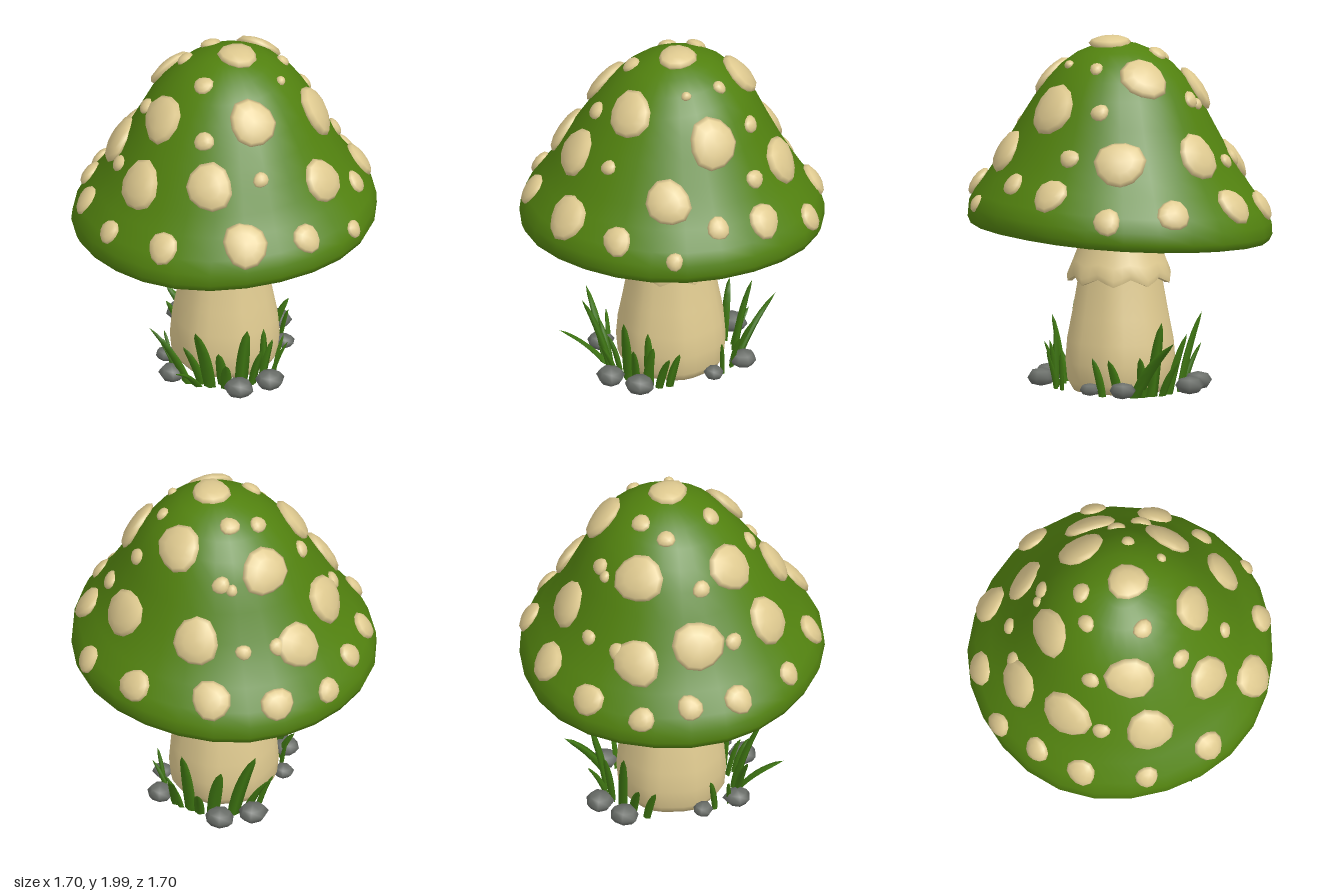
import * as THREE from 'three';
import { mergeVertices, toCreasedNormals } from 'three/addons/utils/BufferGeometryUtils.js';

const material = (name, color, extra = {}) => {
  const m = new THREE.MeshStandardMaterial({ color, ...extra });
  m.name = name;
  return m;
};

// Outer cap profile from rim to crown: [radius, height]
const CAP = [[0.85, 0.935], [0.845, 1.0], [0.81, 1.075], [0.73, 1.18], [0.665, 1.28], [0.605, 1.385], [0.53, 1.52],
  [0.46, 1.65], [0.39, 1.748], [0.31, 1.835], [0.22, 1.9], [0.11, 1.945], [0, 1.955]];

// The cap leans: low on the right and back at the rim, low in front near the crown
const lean = (v) => {
  const high = THREE.MathUtils.smoothstep(v.y, 1.4, 1.72);
  v.y += 0.055 * v.x + (0.035 - 0.1 * high) * v.z;
  v.x += 0.02 * (v.y - 0.95);
  return v;
};

function capPoint(x, z) {
  const r = Math.min(Math.hypot(x, z), 0.847);
  const i = CAP.findIndex((p) => p[0] <= r);
  const [r0, y0] = CAP[i - 1], [r1, y1] = CAP[i];
  return lean(new THREE.Vector3(x, THREE.MathUtils.lerp(y0, y1, (r - r0) / (r1 - r0)), z));
}

// Moves every vertex by a rule
function deform(geo, rule) {
  const pos = geo.attributes.position, v = new THREE.Vector3();
  for (let i = 0; i < pos.count; i++) {
    rule(v.fromBufferAttribute(pos, i), i);
    pos.setXYZ(i, v.x, v.y, v.z);
  }
  geo.deleteAttribute('uv');
  geo.deleteAttribute('normal');
  const merged = mergeVertices(geo, 1e-4);
  merged.computeVertexNormals();
  return merged;
}

const lathe = (points, segments) =>
  new THREE.LatheGeometry(points.map(([r, y]) => new THREE.Vector2(r, y)), segments);

// Domed spot lying on the cap, with a slightly uneven outline
function spotGeometry(x, z, radius, seed) {
  const e = 0.04, r = Math.hypot(x, z);
  const out = new THREE.Vector3(x / r, 0, z / r);
  const reach = Math.min(e, 0.845 - r);
  const inner = capPoint(x - out.x * e, z - out.z * e);
  const outer = capPoint(x + out.x * reach, z + out.z * reach);
  const around = new THREE.Vector3(-out.z, 0, out.x);
  const slope = outer.sub(inner).normalize();
  const normal = new THREE.Vector3().crossVectors(around, slope).normalize();
  if (normal.y < 0) normal.negate();
  const turn = new THREE.Quaternion().setFromUnitVectors(new THREE.Vector3(0, 1, 0), normal);
  const centre = capPoint(x, z);
  const height = 0.018 + radius * 0.23;
  return deform(new THREE.SphereGeometry(1, 11, 6), (v) => {
    const a = Math.atan2(v.z, v.x);
    const k = radius * (1.12 + 0.06 * Math.sin(2 * a + seed * 1.7) + 0.05 * Math.sin(3 * a + seed));
    v.set(v.x * k, v.y * height, v.z * k).applyQuaternion(turn).add(centre);
  });
}

// Thick curved blade with a diamond section, running from its root to its tip
function bladeGeometry([bx, bz, tx, ty, tz, width]) {
  const root = new THREE.Vector3(bx, 0, bz), tip = new THREE.Vector3(tx, ty, tz);
  const bend = new THREE.Vector3(bx + (tx - bx) * 0.35, ty * 0.6, bz + (tz - bz) * 0.35);
  const curve = new THREE.QuadraticBezierCurve3(root, bend, tip);
  const out = new THREE.Vector3(bx, 0, bz).normalize();
  const side = new THREE.Vector3(out.z, 0, -out.x);
  const pos = [], index = [], n = 7;
  for (let i = 0; i <= n; i++) {
    const t = i / n, c = curve.getPoint(t);
    const w = width * (0.75 + 1.3 * t) * Math.sqrt(1 - t) * (1 - 0.4 * t);
    for (const [s, o] of [[1, 0], [0, 0.55], [-1, 0], [0, -0.55]]) {
      const p = c.clone().addScaledVector(side, s * w).addScaledVector(out, o * w);
      pos.push(p.x, p.y, p.z);
    }
    for (let k = 0; k < 4 && i < n; k++) {
      const a = i * 4 + k, b = i * 4 + (k + 1) % 4;
      index.push(a, a + 4, b, b, a + 4, b + 4);
    }
  }
  const geo = new THREE.BufferGeometry();
  geo.setAttribute('position', new THREE.Float32BufferAttribute(pos, 3));
  geo.setIndex(index);
  geo.computeVertexNormals();
  return geo;
}

export function createModel() {
  const model = new THREE.Group();
  model.name = 'mushroom';
  const green = material('cap green', 0x52820f);
  const cream = material('cream', 0xdfca90);
  const gillCream = material('cream gills', 0xdfca90, { flatShading: true });
  const grassGreen = material('grass green', 0x3f7712);
  const stone = material('stone grey', 0x6a6e69);

  const add = (name, geo, mat, parent = model) => {
    const mesh = new THREE.Mesh(geo, mat);
    mesh.name = name;
    parent.add(mesh);
    return mesh;
  };
  const group = (name) => {
    const g = new THREE.Group();
    g.name = name;
    model.add(g);
    return g;
  };

  // Cap with a rolled lip and gentle dents
  const cap = deform(lathe([[0.765, 0.925], [0.80, 0.888], [0.832, 0.895], ...CAP], 26), (v) => {
    const k = 1 + 0.008 * Math.sin(5 * Math.atan2(v.z, v.x) + v.y * 6);
    v.x *= k;
    v.z *= k;
    lean(v);
  });
  add('cap', cap, green);

  // Pleated gills under the cap, swirling slightly toward the stem
  const gillProfile = [[0.17, 1.07], [0.32, 1.045], [0.48, 1.015], [0.64, 0.975], [0.775, 0.92]];
  const rows = gillProfile.length, up = new THREE.Vector3(0, 1, 0);
  const gills = deform(lathe(gillProfile, 88), (v, i) => {
    const row = i % rows, fold = Math.floor(i / rows) % 2;
    if (fold) v.y += [0.008, 0.014, 0.02, 0.022, 0.004][row];
    v.applyAxisAngle(up, [0.16, 0.05, 0, 0.03, 0.09][row]);
    lean(v);
  });
  add('gills', gills, gillCream);

  // Stem with shallow ribs and a softly rounded foot
  const stem = deform(lathe([[0, 0], [0.265, 0], [0.295, 0.05], [0.305, 0.16], [0.295, 0.28], [0.268, 0.42],
    [0.24, 0.58], [0.222, 0.7], [0.2, 0.86], [0.198, 0.95], [0.21, 1.03], [0.235, 1.1]], 28), (v) => {
    const k = 1 + 0.02 * Math.sin(7 * Math.atan2(v.z, v.x));
    v.x *= k;
    v.z *= k;
  });
  add('stem', stem, cream);

  // Flared skirt with a scalloped hem
  const skirt = deform(lathe([[0.22, 0.67], [0.255, 0.628], [0.282, 0.628], [0.287, 0.66], [0.262, 0.72],
    [0.235, 0.79], [0.213, 0.86], [0.196, 0.94]], 36), (v) => {
    const wave = Math.cos(9 * Math.atan2(v.z, v.x));
    const hem = THREE.MathUtils.clamp((0.8 - v.y) / 0.16, 0, 1);
    v.y -= 0.02 * wave * hem;
    v.x *= 1 + 0.03 * wave * hem;
    v.z *= 1 + 0.03 * wave * hem;
  });
  add('skirt', toCreasedNormals(skirt, 1.1), cream);

  // Spots: [x, z, radius]
  const large = [[-0.17, -0.75, 0.1], [0.28, -0.74, 0.085], [-0.51, -0.61, 0.085], [-0.04, -0.6, 0.12],
    [0.42, -0.46, 0.125], [-0.55, -0.34, 0.12], [-0.34, -0.27, 0.125], [0.13, -0.35, 0.12], [0.72, -0.21, 0.09],
    [-0.77, -0.09, 0.065], [-0.6, 0, 0.13], [0.05, 0, 0.1], [0.49, 0, 0.13], [-0.76, 0.19, 0.075],
    [-0.34, 0.25, 0.125], [0.17, 0.35, 0.12], [0.565, 0.31, 0.115], [-0.44, 0.44, 0.125], [-0.04, 0.58, 0.12],
    [0.51, 0.6, 0.075], [-0.6, 0.52, 0.06], [-0.28, 0.73, 0.08], [0.18, 0.74, 0.115], [0.73, 0.08, 0.06],
    [0.61, -0.55, 0.07], [-0.73, -0.36, 0.065], [0.75, 0.36, 0.045]];
  const small = [[-0.3, -0.55, 0.04], [-0.14, -0.44, 0.045], [-0.2, -0.43, 0.03], [0.4, -0.28, 0.045],
    [-0.12, -0.2, 0.05], [-0.25, -0.09, 0.045], [-0.45, 0.06, 0.045], [-0.12, 0.2, 0.05], [0.29, -0.14, 0.035],
    [0.3, 0.07, 0.025], [-0.58, 0.21, 0.045], [-0.09, 0.43, 0.05], [0.24, 0.52, 0.04], [0.58, -0.22, 0.05],
    [-0.46, -0.43, 0.045]];
  const spots = group('spots');
  [...large, ...small].forEach(([x, z, r], i) => add('spot', spotGeometry(x, z, r, i), cream, spots));

  // Grass blades: [root x, root z, tip x, tip y, tip z, half width]
  const blades = [
    [-0.18, 0.33, -0.39, 0.35, 0.34, 0.045], [-0.05, 0.36, -0.12, 0.43, 0.5, 0.045],
    [0.12, 0.33, 0.16, 0.39, 0.38, 0.046], [-0.12, 0.36, -0.22, 0.21, 0.59, 0.042],
    [0.18, 0.31, 0.24, 0.25, 0.36, 0.032], [0.23, 0.27, 0.29, 0.27, 0.26, 0.034],
    [0.28, 0.22, 0.37, 0.22, 0.2, 0.028], [0.29, 0.16, 0.34, 0.22, 0.12, 0.028],
    [-0.24, 0.27, -0.34, 0.2, 0.24, 0.03], [0.04, 0.37, 0.05, 0.2, 0.46, 0.036],
    [-0.28, 0.18, -0.33, 0.22, 0.14, 0.028], [0.02, 0.33, 0.0, 0.24, 0.4, 0.036],
    [0.24, 0.26, 0.24, 0.34, 0.27, 0.034], [-0.1, 0.33, -0.2, 0.25, 0.36, 0.036],
    [0.18, -0.32, 0.13, 0.33, -0.58, 0.046], [0.08, -0.35, 0.1, 0.43, -0.45, 0.045],
    [-0.16, -0.32, -0.3, 0.44, -0.35, 0.046], [-0.05, -0.35, -0.12, 0.34, -0.42, 0.044],
    [-0.22, -0.28, -0.36, 0.25, -0.28, 0.034], [-0.27, -0.21, -0.35, 0.21, -0.18, 0.028],
    [0.24, -0.25, 0.33, 0.22, -0.26, 0.032], [0.29, -0.17, 0.34, 0.22, -0.14, 0.028],
    [0.02, -0.37, 0.0, 0.2, -0.48, 0.036], [0.14, -0.34, 0.22, 0.24, -0.4, 0.034]];
  const grass = group('grass');
  blades.forEach((b) => add('grassBlade', bladeGeometry(b), grassGreen, grass));

  // Stones, repeated half a turn around the stem: [x, z, radius]
  const stones = group('stones');
  const stoneGeo = deform(new THREE.SphereGeometry(1, 7, 4), (v) => {
    v.x *= 1 + 0.1 * Math.sin(v.z * 3 + v.y);
  });
  for (const turn of [1, -1]) {
    [[0.12, 0.44, 0.085], [0.28, 0.34, 0.085], [-0.27, 0.31, 0.078], [0.32, -0.1, 0.06]].forEach(([x, z, r], i) => {
      const s = add('stone', stoneGeo, stone, stones);
      s.position.set(x * turn, 0.62 * r, z * turn);
      s.scale.set(r, r * 0.6, r * 0.95);
      s.rotation.y = i * 0.9 + (turn < 0 ? Math.PI : 0);
    });
  }
  return model;
}
